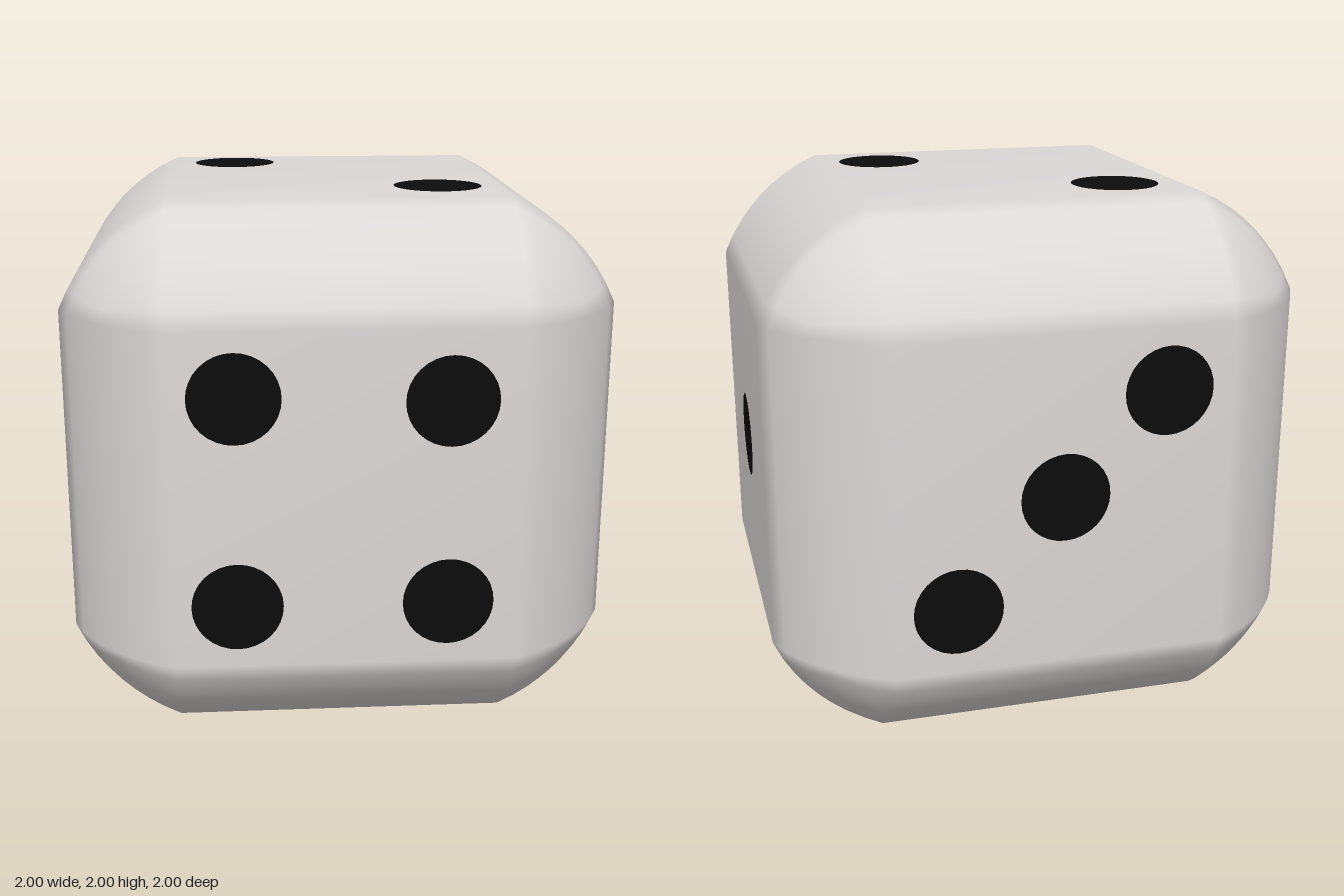
import * as THREE from 'three';
import { mergeVertices } from 'three/addons/utils/BufferGeometryUtils.js';

const FLAT = 0.61;   // half width of each flat face
const INSET = 0.286; // distance from the flat's edge back to the rounding centre
const STEPS = 4;     // rounding steps on each side of an edge's middle

// Cube whose edges and corners bulge along shallow arcs that meet the flats at a slight kink
function bodyGeometry() {
  const n = 2 * STEPS + 1;
  let geo = new THREE.BoxGeometry(2, 2, 2, n, n, n);
  geo.deleteAttribute('uv');
  geo.deleteAttribute('normal');
  geo = mergeVertices(geo, 1e-4);
  const pos = geo.attributes.position;
  const reach = 1 - FLAT + INSET;
  const radiusSq = reach * reach + 2 * INSET * INSET;
  for (let i = 0; i < pos.count; i++) {
    const p = [pos.getX(i), pos.getY(i), pos.getZ(i)];
    const sign = p.map(Math.sign);
    // Direction away from the nearest corner of the inner cube
    const dir = new THREE.Vector3(...p.map((v) =>
      Math.tan(((Math.abs(v) * n - 1) / (n - 1)) * Math.PI / 4))).normalize();
    const s = INSET * (dir.x + dir.y + dir.z);
    const t = -s + Math.sqrt(s * s + radiusSq - 3 * INSET * INSET);
    pos.setXYZ(i, sign[0] * (FLAT + t * dir.x), sign[1] * (FLAT + t * dir.y), sign[2] * (FLAT + t * dir.z));
  }
  geo.computeVertexNormals();
  return geo;
}

export function createModel() {
  const ivory = new THREE.MeshStandardMaterial({ color: 0xdcd8d6 });
  ivory.name = 'ivory';
  const black = new THREE.MeshStandardMaterial({ color: 0x0c0c0c });
  black.name = 'black';

  const model = new THREE.Group();
  model.name = 'die';
  const body = new THREE.Mesh(bodyGeometry(), ivory);
  body.name = 'body';
  body.position.y = 1;
  model.add(body);

  // Painted pips: each face's turn and its pip positions, seen face on
  const H = Math.PI / 2;
  const faces = [
    ['frontFour', 0, 0, [[-0.385, 0.38], [0.36, 0.36], [-0.385, -0.38], [0.36, -0.38]]],
    ['rightOne', 0, H, [[0.03, 0.015]]],
    ['backThree', 0, 2 * H, [[0.37, 0.38], [0, 0.02], [-0.385, -0.37]]],
    ['leftSix', 0, -H, [[-0.38, 0.385], [-0.38, 0], [-0.38, -0.38], [0.385, 0.375], [0.385, -0.02], [0.385, -0.385]]],
    ['topTwo', -H, 0, [[-0.365, 0.395], [0.38, -0.36]]],
    ['bottomFive', H, 0, [[-0.38, 0.38], [0.38, 0.38], [0, 0], [-0.38, -0.38], [0.38, -0.38]]],
  ];
  const pipGeometry = new THREE.CircleGeometry(0.162, 32);
  for (const [name, rx, ry, spots] of faces) {
    const face = new THREE.Group();
    face.name = name;
    face.position.y = 1;
    face.rotation.set(rx, ry, 0);
    for (const [u, v] of spots) {
      const pip = new THREE.Mesh(pipGeometry, black);
      pip.name = 'pip';
      pip.position.set(u, v, 1.002);
      face.add(pip);
    }
    model.add(face);
  }
  return model;
}
